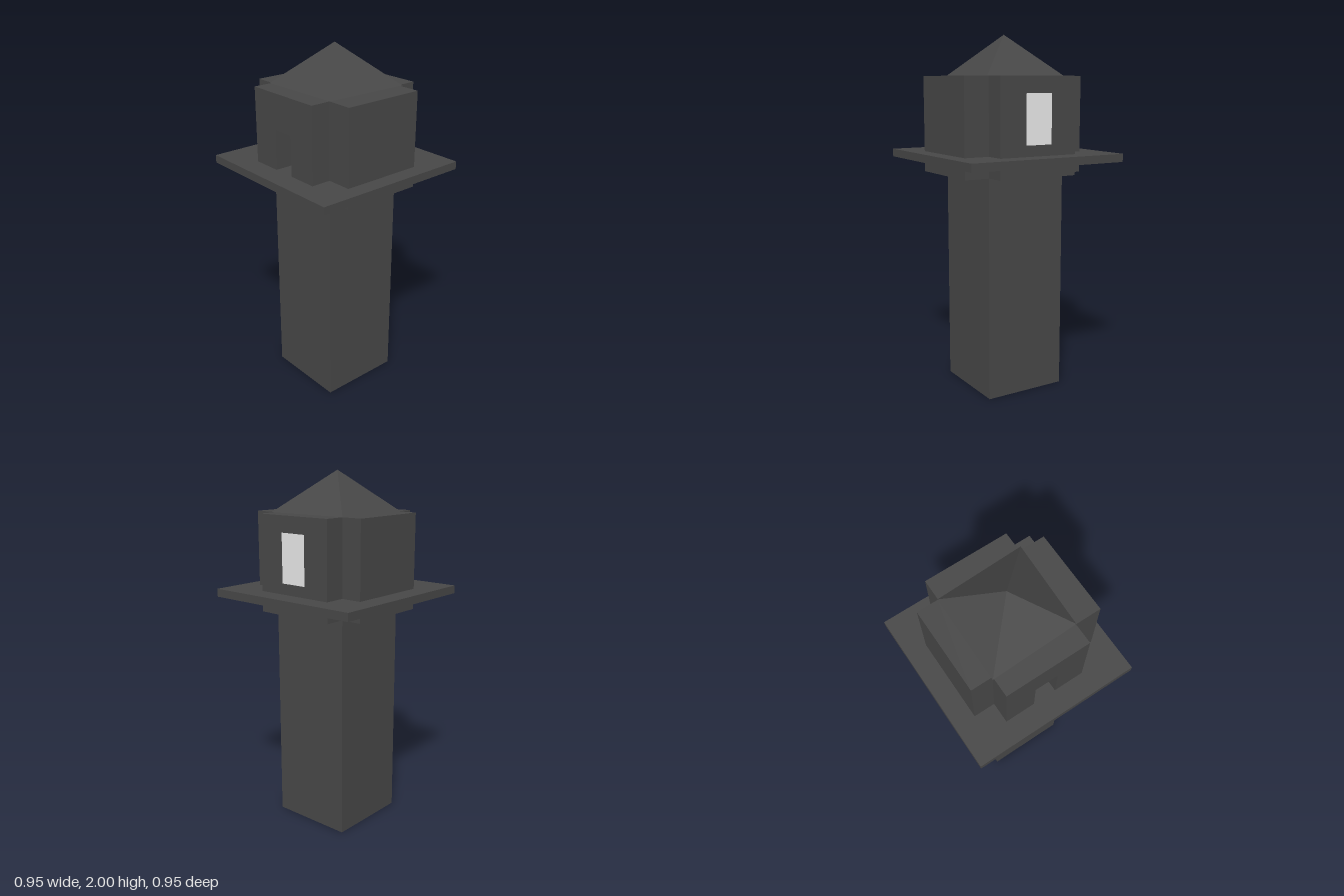
import * as THREE from 'three';

const stone = new THREE.MeshStandardMaterial({ color: 0x474747 });
stone.name = 'dark stone';
const roofStone = new THREE.MeshStandardMaterial({ color: 0x474747, side: THREE.DoubleSide });
roofStone.name = 'dark roof';
const pane = new THREE.MeshStandardMaterial({ color: 0xf0f0f0 });
pane.name = 'pale window';

const E = 0.2375;          // half width of shaft and room
const Y0 = 1.24, Y1 = 1.775; // bottom and top of the wings

// Box given by its lower and upper corners
function block(name, [x0, y0, z0], [x1, y1, z1], material = stone) {
  const mesh = new THREE.Mesh(new THREE.BoxGeometry(x1 - x0, y1 - y0, z1 - z0), material);
  mesh.position.set((x0 + x1) / 2, (y0 + y1) / 2, (z0 + z1) / 2);
  mesh.name = name;
  return mesh;
}

// Wing with a rectangular opening through its depth
function openWing(name, z0, z1, halfWidth, bottom, top) {
  const shape = new THREE.Shape([[-E, Y0], [E, Y0], [E, Y1], [-E, Y1]].map(p => new THREE.Vector2(...p)));
  const w = halfWidth;
  shape.holes.push(new THREE.Path([[-w, bottom], [-w, top], [w, top], [w, bottom]].map(p => new THREE.Vector2(...p))));
  const mesh = new THREE.Mesh(new THREE.ExtrudeGeometry(shape, { depth: z1 - z0, bevelEnabled: false }), stone);
  mesh.position.z = z0;
  mesh.name = name;
  return mesh;
}

// Slightly uneven four-sided roof
function roof() {
  const corners = [[-0.245, 0.25], [0.24, 0.237], [0.255, -0.255], [-0.24, -0.24]];
  const points = [];
  corners.forEach(([x, z], i) => {
    const [nx, nz] = corners[(i + 1) % 4];
    points.push(x, Y1, z, nx, Y1, nz, 0, 2, 0);
  });
  const geometry = new THREE.BufferGeometry();
  geometry.setAttribute('position', new THREE.Float32BufferAttribute(points, 3));
  geometry.computeVertexNormals();
  const mesh = new THREE.Mesh(geometry, roofStone);
  mesh.name = 'roof';
  return mesh;
}

export function createModel() {
  const model = new THREE.Group();
  model.name = 'watchtower';
  model.add(
    block('shaft', [-E, 0, -E], [E, 1.33, E]),
    block('platform', [-0.475, 1.31, -0.475], [0.475, 1.355, 0.475]),
    // Four wings around the hollow room
    block('rightWing', [-0.357, Y0, -E], [-E, Y1, E]),
    block('leftWing', [E, Y0, -E], [0.382, Y1, E]),
    openWing('frontWingWithDoorway', E, 0.352, 0.066, 1.35, 1.58),
    openWing('backWingWithWindow', -0.356, -E, 0.08, 1.415, 1.685),
    block('windowPane', [-0.08, 1.415, -0.356], [0.08, 1.685, -0.35], pane),
    roof()
  );
  return model;
}
